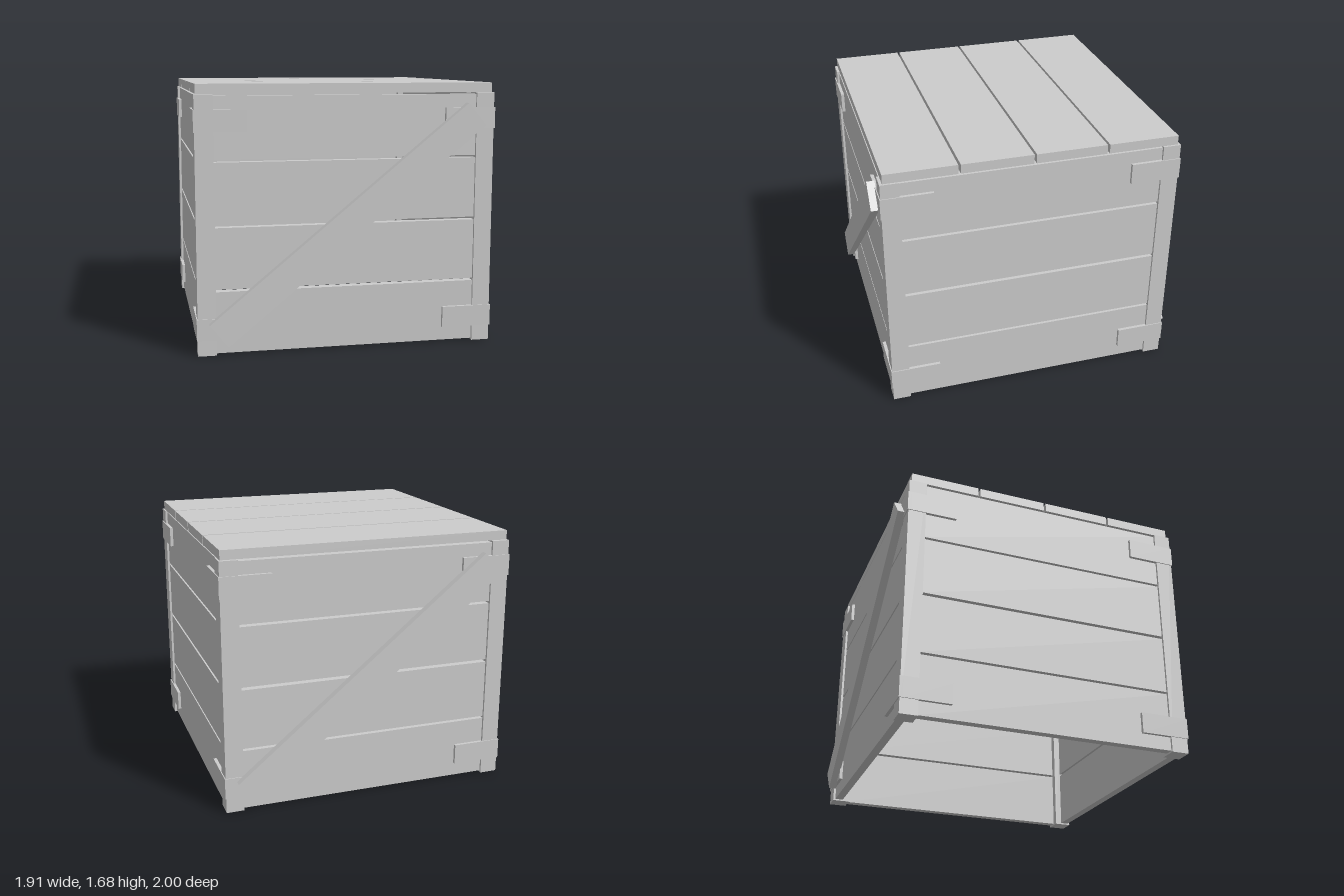
import * as THREE from 'three';

export function createModel() {
  const crate = new THREE.Group();
  crate.name = 'crate';
  const grey = new THREE.MeshStandardMaterial({ color: 0xcccccc });
  grey.name = 'plain grey';

  // Box given by its lower and upper limits on each axis
  function slab(parent, name, [x0, x1], [y0, y1], [z0, z1]) {
    const mesh = new THREE.Mesh(new THREE.BoxGeometry(x1 - x0, y1 - y0, z1 - z0), grey);
    mesh.position.set((x0 + x1) / 2, (y0 + y1) / 2, (z0 + z1) / 2);
    mesh.name = name;
    parent.add(mesh);
    return mesh;
  }

  // Four identical sides: wall boards, a corner post and its brackets
  const boardRows = [[0.01, 0.4], [0.415, 0.802], [0.82, 1.205], [1.22, 1.608]];
  const bracketRows = [[0.1, 0.235], [1.39, 1.525]];
  for (let i = 0; i < 4; i++) {
    const side = new THREE.Group();
    side.name = 'side' + (i + 1);
    side.rotation.y = (i * Math.PI) / 2;
    for (const row of boardRows) slab(side, 'wallBoard', [-0.84, 0.84], row, [0.88, 0.935]);
    slab(side, 'cornerPost', [0.835, 0.95], [0, 1.618], [0.835, 0.95]);
    for (const row of bracketRows) {
      slab(side, 'bracketFront', [0.63, 0.956], row, [0.93, 0.956]);
      slab(side, 'bracketReturn', [0.93, 0.956], row, [0.63, 0.93]);
    }
    crate.add(side);
  }

  // Lid boards with narrow gaps
  for (const z of [-0.705, -0.235, 0.235, 0.705]) {
    slab(crate, 'lidBoard', [-0.94, 0.94], [1.62, 1.68], [z - 0.2275, z + 0.2275]);
  }

  // Diagonal braces on front and back
  for (const turn of [0, Math.PI]) {
    const holder = new THREE.Group();
    holder.name = turn ? 'backBrace' : 'frontBrace';
    holder.rotation.y = turn;
    const brace = slab(holder, 'diagonalBrace', [-1.0625, 1.0625], [0.719, 0.901], [0.95, 1]);
    brace.rotation.z = 0.687;
    crate.add(holder);
  }

  return crate;
}
